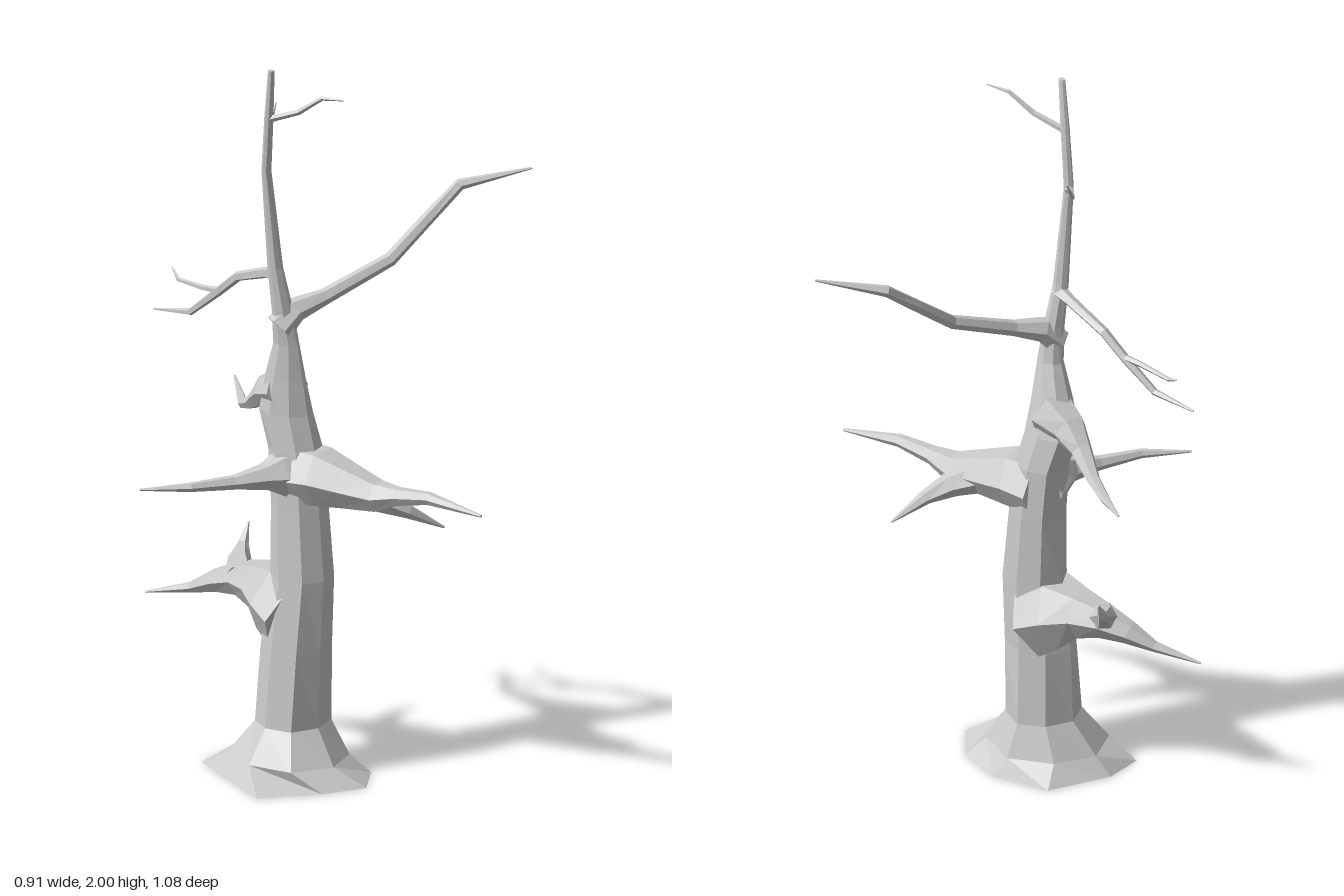
import * as THREE from 'three';

const bark = new THREE.MeshStandardMaterial({ color: 0xcccccc, flatShading: true });

// Skin a list of equal-sized rings, closing both ends with fans
function loft(name, rings) {
  const n = rings[0].length, last = rings.length - 1, pos = [], idx = [];
  rings.forEach(ring => ring.forEach(p => pos.push(p.x, p.y, p.z)));
  for (let j = 0; j < last; j++) {
    for (let i = 0; i < n; i++) {
      const a = j * n + i, b = j * n + (i + 1) % n;
      idx.push(a, b, a + n, b, b + n, a + n);
    }
  }
  for (const j of [0, last]) {
    const c = rings[j].reduce((s, p) => s.add(p), new THREE.Vector3()).divideScalar(n);
    const centre = pos.length / 3;
    pos.push(c.x, c.y, c.z);
    for (let i = 0; i < n; i++) {
      const a = j * n + i, b = j * n + (i + 1) % n;
      if (j === 0) idx.push(centre, b, a);
      else idx.push(centre, a, b);
    }
  }
  const indexed = new THREE.BufferGeometry();
  indexed.setAttribute('position', new THREE.Float32BufferAttribute(pos, 3));
  indexed.setIndex(idx);
  const geometry = indexed.toNonIndexed();
  geometry.computeVertexNormals();
  const mesh = new THREE.Mesh(geometry, bark);
  mesh.name = name;
  return mesh;
}

// Tapered branch through points [x, y, z, radius]
function branch(name, points, sides = 6) {
  const path = points.map(p => new THREE.Vector3(p[0], p[1], p[2]));
  const up = new THREE.Vector3(0, 1, 0);
  const rings = path.map((p, j) => {
    const t = new THREE.Vector3();
    if (j > 0) t.add(p.clone().sub(path[j - 1]).normalize());
    if (j < path.length - 1) t.add(path[j + 1].clone().sub(p).normalize());
    t.normalize();
    const u = t.clone().cross(up).normalize(), v = t.clone().cross(u);
    return Array.from({ length: sides }, (_, i) => {
      const a = (i / sides) * Math.PI * 2;
      return p.clone()
        .addScaledVector(u, Math.cos(a) * points[j][3])
        .addScaledVector(v, Math.sin(a) * points[j][3]);
    });
  });
  return loft(name, rings);
}

// Trunk from the top down: [y, xMin, xMax, zMin, zMax]
function trunk() {
  const sections = [
    [2.00, -0.233, -0.217, -0.060, -0.042],
    [1.86, -0.222, -0.198, -0.082, -0.058],
    [1.70, -0.204, -0.176, -0.105, -0.080],
    [1.42, -0.176, -0.138, -0.108, -0.066],
    [1.30, -0.166, -0.112, -0.104, -0.048],
    [1.20, -0.152, -0.100, -0.110, -0.035],
    [1.10, -0.152, -0.072, -0.145, -0.028],
    [1.00, -0.156, -0.045, -0.170, -0.018],
    [0.90, -0.160, -0.030, -0.142, 0.005],
    [0.75, -0.168, -0.028, -0.130, 0.022],
    [0.55, -0.180, -0.028, -0.128, 0.044],
    [0.35, -0.198, -0.024, -0.150, 0.040],
    [0.14, -0.216, -0.010, -0.158, 0.036],
    [0.05, -0.275, 0.022, -0.225, 0.100],
  ];
  const rings = sections.map(([y, x0, x1, z0, z1], j) =>
    Array.from({ length: 8 }, (_, i) => {
      const a = ((10 + 45 * i) * Math.PI) / 180;
      const r = 1.03 + 0.04 * Math.sin(i * 2.3 + j * 0.6);
      return new THREE.Vector3(
        (x0 + x1) / 2 + Math.cos(a) * r * (x1 - x0) / 2, y,
        (z0 + z1) / 2 + Math.sin(a) * r * (z1 - z0) / 2);
    }));
  // Uneven foot where the roots spread
  const foot = [[0.055, 0], [-0.01, 0.12], [-0.12, 0.185], [-0.23, 0.12],
    [-0.36, 0], [-0.21, -0.29], [-0.1, -0.275], [0.05, -0.17]];
  rings.push(foot.map(([x, z]) => new THREE.Vector3(x, 0, z)));
  return loft('trunk', rings);
}

export function createModel() {
  const tree = new THREE.Group();
  tree.name = 'bareTree';
  tree.add(trunk());

  // Thick front limb and its side spur
  tree.add(branch('frontLimb', [
    [-0.095, 0.83, -0.06, 0.09], [-0.095, 0.835, 0.02, 0.082], [-0.09, 0.825, 0.10, 0.064],
    [-0.085, 0.815, 0.20, 0.044], [-0.09, 0.83, 0.27, 0.026], [-0.09, 0.845, 0.37, 0.018],
    [-0.088, 0.83, 0.54, 0.004]]));
  tree.add(branch('frontSpur', [
    [-0.09, 0.82, 0.10, 0.05], [-0.045, 0.79, 0.18, 0.036],
    [0.00, 0.755, 0.235, 0.02], [0.08, 0.70, 0.295, 0.003]]));

  // Right-hand limb, leaning backwards
  tree.add(branch('rightLimb', [
    [-0.10, 0.83, -0.06, 0.085], [-0.16, 0.84, -0.08, 0.058], [-0.20, 0.84, -0.095, 0.036],
    [-0.27, 0.835, -0.14, 0.02], [-0.37, 0.835, -0.21, 0.013], [-0.455, 0.83, -0.315, 0.003]]));

  // Low back limb with an upright spike
  tree.add(branch('lowBackLimb', [
    [-0.10, 0.44, -0.06, 0.12], [-0.09, 0.47, -0.13, 0.105], [-0.08, 0.485, -0.20, 0.068],
    [-0.075, 0.485, -0.27, 0.048], [-0.085, 0.465, -0.34, 0.032],
    [-0.10, 0.435, -0.41, 0.015], [-0.13, 0.405, -0.535, 0.003]]));
  tree.add(branch('lowBackSpike', [
    [-0.08, 0.49, -0.26, 0.045], [-0.035, 0.525, -0.295, 0.031],
    [0.005, 0.55, -0.312, 0.015], [0.04, 0.60, -0.32, 0.002]]));

  // Middle back limb
  tree.add(branch('middleBackLimb', [
    [-0.10, 1.06, -0.09, 0.07], [-0.08, 1.035, -0.16, 0.05], [-0.05, 1.00, -0.215, 0.03],
    [0.00, 0.955, -0.28, 0.019], [0.035, 0.93, -0.335, 0.014], [0.14, 0.957, -0.44, 0.003]]));

  // Long upper left limb
  tree.add(branch('upperLeftLimb', [
    [-0.15, 1.25, -0.08, 0.04], [-0.11, 1.295, -0.055, 0.034], [-0.04, 1.32, -0.01, 0.022],
    [0.13, 1.395, 0.08, 0.019], [0.24, 1.485, 0.12, 0.018], [0.335, 1.565, 0.16, 0.016],
    [0.45, 1.61, 0.312, 0.003]]));

  // Upper back limb and twig
  tree.add(branch('upperBackLimb', [
    [-0.155, 1.40, -0.08, 0.022], [-0.135, 1.39, -0.13, 0.016], [-0.105, 1.345, -0.25, 0.014],
    [-0.10, 1.285, -0.32, 0.013], [-0.10, 1.21, -0.41, 0.010], [-0.092, 1.19, -0.535, 0.003]], 5));
  tree.add(branch('upperBackTwig', [
    [-0.10, 1.29, -0.31, 0.010], [-0.095, 1.285, -0.37, 0.008],
    [-0.07, 1.28, -0.47, 0.006], [-0.045, 1.30, -0.51, 0.002]], 5));

  // Small twigs near the top
  tree.add(branch('topLeftTwig', [
    [-0.19, 1.69, -0.09, 0.012], [-0.14, 1.725, -0.13, 0.008],
    [-0.06, 1.755, -0.18, 0.007], [-0.01, 1.82, -0.193, 0.002]], 5));
  tree.add(branch('topFrontTwig', [
    [-0.21, 1.855, -0.07, 0.010], [-0.197, 1.89, 0.02, 0.008],
    [-0.187, 1.94, 0.09, 0.006], [-0.182, 1.946, 0.155, 0.002]], 5));

  return tree;
}
